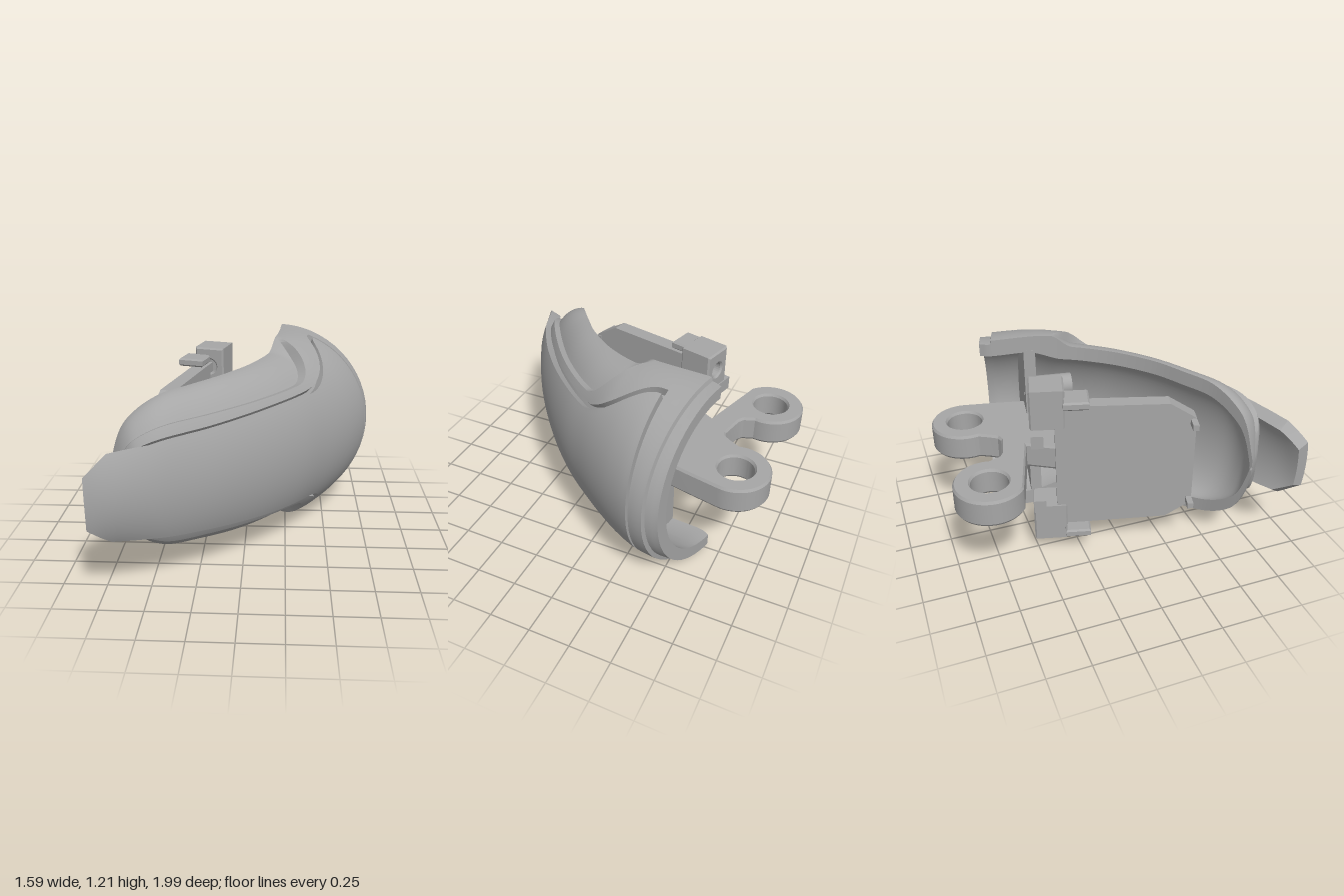
import * as THREE from 'three';
import { toCreasedNormals } from 'three/addons/utils/BufferGeometryUtils.js';

const MID = 0.605; // height of the mirror plane
const sstep = THREE.MathUtils.smoothstep;

// Stations along the shell: rim x, rim z, crest x, crest z, half height
const common = [
  [0.24, -0.67, 0.78, -0.535, 0.605], [0.21, -0.605, 0.79, -0.46, 0.605],
  [0.195, -0.42, 0.768, -0.355, 0.605], [0.18, -0.3, 0.7, -0.22, 0.602],
  [0.15, -0.19, 0.61, -0.08, 0.594], [0.1, -0.06, 0.5, 0.07, 0.583],
  [0, 0.11, 0.35, 0.26, 0.57], [-0.15, 0.28, 0.15, 0.46, 0.555],
  [-0.3, 0.4, -0.1, 0.66, 0.537], [-0.45, 0.51, -0.36, 0.82, 0.514],
];
const nose = [[-0.58, 0.585, -0.5, 0.85, 0.44], [-0.66, 0.63, -0.57, 0.82, 0.335], [-0.72, 0.66, -0.62, 0.77, 0.12]];
const tip = [[-0.6, 0.58, -0.49, 0.883, 0.475], [-0.76, 0.66, -0.65, 0.95, 0.43], [-0.83, 0.77, -0.775, 0.99, 0.42]];

// Returns point(u, angle, offset) on a half-elliptic section swept through the stations
function sweep(stations) {
  const rim = new THREE.CatmullRomCurve3(stations.map(s => new THREE.Vector3(s[0], s[4], s[1])), false, 'catmullrom', 0.5);
  const crest = new THREE.CatmullRomCurve3(stations.map(s => new THREE.Vector3(s[2], 0, s[3])), false, 'catmullrom', 0.5);
  const n = stations.length - 1;
  return (u, a, d) => {
    const r = rim.getPoint(u / n), p = crest.getPoint(u / n);
    const h = Math.max(r.y + d, 0.01);
    r.y = p.y = 0;
    const dir = p.sub(r), len = dir.length();
    dir.normalize();
    return r.addScaledVector(dir, Math.max(len + d, 0.02) * Math.sin(a)).setY(MID + h * Math.cos(a));
  };
}

// Angle at which the raised centre band begins
const bandStart = u => (u > 11
  ? 0.95 + 0.26 * (u - 11)
  : 0.38 + 0.57 * sstep(u, 2, 5.3) + 0.05 * (sstep(u, 6, 9) - sstep(u, 9, 11)));

// Solid from sections, each with matching outer and inner point rows
function loft(sections) {
  const n = sections[0].outer.length, m = 2 * n, pos = [], idx = [];
  for (const s of sections)
    for (const p of [...s.outer, ...[...s.inner].reverse()]) pos.push(p.x, p.y, p.z);
  for (let j = 0; j < sections.length - 1; j++)
    for (let i = 0; i < m; i++) {
      const k = (i + 1) % m, a = j * m + i, c = j * m + k;
      idx.push(a, a + m, c + m, a, c + m, c);
    }
  const e = (sections.length - 1) * m;
  for (let i = 0; i < n - 1; i++) {
    const o = i, o1 = i + 1, q1 = m - 2 - i, q = m - 1 - i;
    idx.push(o, o1, q1, o, q1, q, e + o, e + q1, e + o1, e + o, e + q, e + q1);
  }
  const g = new THREE.BufferGeometry();
  g.setAttribute('position', new THREE.Float32BufferAttribute(pos, 3));
  g.setIndex(idx);
  return toCreasedNormals(g, 0.5);
}

const range = (a, b, n) => Array.from({ length: n + 1 }, (_, i) => a + (b - a) * i / n);
const mirrored = half => [...half, ...half.slice(0, -1).reverse().map(([a, d]) => [Math.PI - a, d])];
const hole = (x, y, r) => new THREE.Path().absarc(x, y, r, 0, Math.PI * 2, true);

export function createModel() {
  const group = new THREE.Group();
  const grey = new THREE.MeshStandardMaterial({ color: 0xa6a6a6 });
  grey.name = 'plain grey';
  const add = (name, geometry, parent = group) => {
    const mesh = new THREE.Mesh(geometry, grey);
    mesh.name = name;
    parent.add(mesh);
    return mesh;
  };

  // Main shell: inset lip, full collar, stepped flank along each rim, bed for the band
  const shellAt = sweep([...common, ...nose]);
  const us = [...range(0, 0.95, 4), ...range(1, 1.82, 5), ...range(1.85, 9, 48), ...range(9.2, 12, 14)];
  add('shell', loft(us.map(u => {
    const ledge = u < 0.97 ? -0.025 : -0.03 * sstep(u, 4, 6);
    const flank = u < 0.97 ? ledge : -0.065 * sstep(u, 3.4, 4.5);
    const bed = u < 1.83 ? ledge : -0.05;
    const edge = 0.02 + 0.72 * sstep(u, 3.4, 5.4);
    const seam = bandStart(Math.min(u, 9));
    const cols = mirrored([
      ...range(0, edge, 10).map(a => [a, flank]),
      ...range(edge + 0.05, seam - 0.06, 5).map(a => [a, ledge]),
      ...range(seam - 0.045, Math.PI / 2, 12).map(a => [a, bed]),
    ]);
    const wall = -0.1 - 0.05 * sstep(u, 2, 4);
    return {
      outer: cols.map(([a, d]) => shellAt(u, a, d)),
      inner: cols.map(([a]) => shellAt(u, a, wall)),
    };
  })));

  // Raised centre band, running past the shell to a chamfered tip
  const bandAt = sweep([...common, ...tip]);
  const bandUs = [...range(1.97, 11, 50), ...range(11.2, 12, 4)];
  add('centreBand', loft(bandUs.map(u => {
    const angles = range(bandStart(u), Math.PI - bandStart(u), 32);
    return { outer: angles.map(a => bandAt(u, a, 0)), inner: angles.map(a => bandAt(u, a, -0.075)) };
  })));

  // Cross wall inside the collar, with two peg holes backed by bosses
  const collarWall = new THREE.Group();
  collarWall.name = 'collarWall';
  collarWall.position.set(0.185, MID, -0.42);
  collarWall.rotation.y = -Math.atan2(0.08, 0.55);
  group.add(collarWall);
  const wallShape = new THREE.Shape();
  wallShape.moveTo(0.01, -0.515);
  wallShape.absellipse(0.01, 0, 0.48, 0.515, -Math.PI / 2, Math.PI / 2, false);
  wallShape.closePath();
  for (const y of [-0.21, 0.21]) {
    wallShape.holes.push(hole(0.12, y, 0.05));
    add('pegBoss', new THREE.CylinderGeometry(0.07, 0.07, 0.24, 24).rotateX(Math.PI / 2), collarWall)
      .position.set(0.12, y, 0.18);
  }
  add('wallPlate', new THREE.ExtrudeGeometry(wallShape, { depth: 0.07, bevelEnabled: false, curveSegments: 32 }), collarWall);

  // Hinge plate with two eyes
  const hinge = new THREE.Shape();
  hinge.moveTo(-0.13, -0.52);
  hinge.lineTo(-0.54, -0.645);
  hinge.absarc(-0.435, -0.8, 0.19, 2.21, 6.5, false);
  hinge.lineTo(-0.225, -0.69).lineTo(-0.19, -0.665).lineTo(-0.04, -0.63).lineTo(0, -0.645).lineTo(0.03, -0.69);
  hinge.absarc(0.25, -0.8, 0.19, 2.9, 6.5, false);
  hinge.lineTo(0.4, -0.58).lineTo(0.36, -0.4).lineTo(0.13, -0.205).lineTo(-0.26, -0.3);
  hinge.closePath();
  for (const x of [-0.435, 0.25]) hinge.holes.push(hole(x, -0.8, 0.115));
  const hingeGeo = new THREE.ExtrudeGeometry(hinge, {
    depth: 0.13, bevelThickness: 0.015, bevelSize: 0.01, bevelSegments: 1, curveSegments: 32,
  });
  hingeGeo.rotateX(Math.PI / 2).translate(0, 0.675, 0);
  add('hingePlate', toCreasedNormals(hingeGeo, 0.4));

  // Back plate: its local x runs along the plate, local z is its thickness
  const back = new THREE.Group();
  back.name = 'backPlateAssembly';
  back.position.set(-0.25, MID, -0.32);
  back.rotation.y = -Math.atan2(0.72, -0.19);
  group.add(back);
  const plate = new THREE.Shape();
  plate.moveTo(-0.05, -0.4).lineTo(0.1, -0.4).lineTo(0.6, -0.39).lineTo(0.755, -0.29);
  plate.lineTo(0.755, 0.29).lineTo(0.6, 0.39).lineTo(0.1, 0.4).lineTo(-0.05, 0.4);
  add('backPlate', new THREE.ExtrudeGeometry(plate, { depth: 0.09, bevelEnabled: false }), back);

  // Blocks, clips and prongs, mirrored above and below the hinge
  const bevel = { bevelThickness: 0.01, bevelSize: 0.01, bevelSegments: 1 };
  const box = (name, w, h, d, x, y, z) => add(name, new THREE.BoxGeometry(w, h, d), back).position.set(x, y, z);
  for (const s of [1, -1]) {
    const block = new THREE.Shape();
    block.moveTo(-0.085, -0.11).lineTo(0.085, -0.11).lineTo(0.085, 0.11).lineTo(-0.085, 0.11);
    block.holes.push(hole(0, 0, 0.055));
    add('socketBlock', new THREE.ExtrudeGeometry(block, { depth: 0.18, ...bevel }).rotateY(Math.PI / 2), back)
      .position.set(-0.18, s * 0.385, 0.005);
    box('socketFloor', 0.03, 0.2, 0.16, -0.06, s * 0.385, 0.005);
    box('sideClip', 0.07, 0.08, 0.12, -0.15, s * 0.22, 0.1);
    const clip = new THREE.Shape();
    clip.moveTo(-0.065, -0.07).lineTo(0.065, -0.07).lineTo(0.065, 0.07).lineTo(-0.065, 0.07);
    add('edgeClip', new THREE.ExtrudeGeometry(clip, { depth: 0.03, ...bevel }).rotateX(Math.PI / 2), back)
      .position.set(0.07, s * 0.435 + 0.015, 0.08);
    box('endProng', 0.035, 0.035, 0.17, 0.737, s * 0.27, 0.08);
  }
  return group;
}
